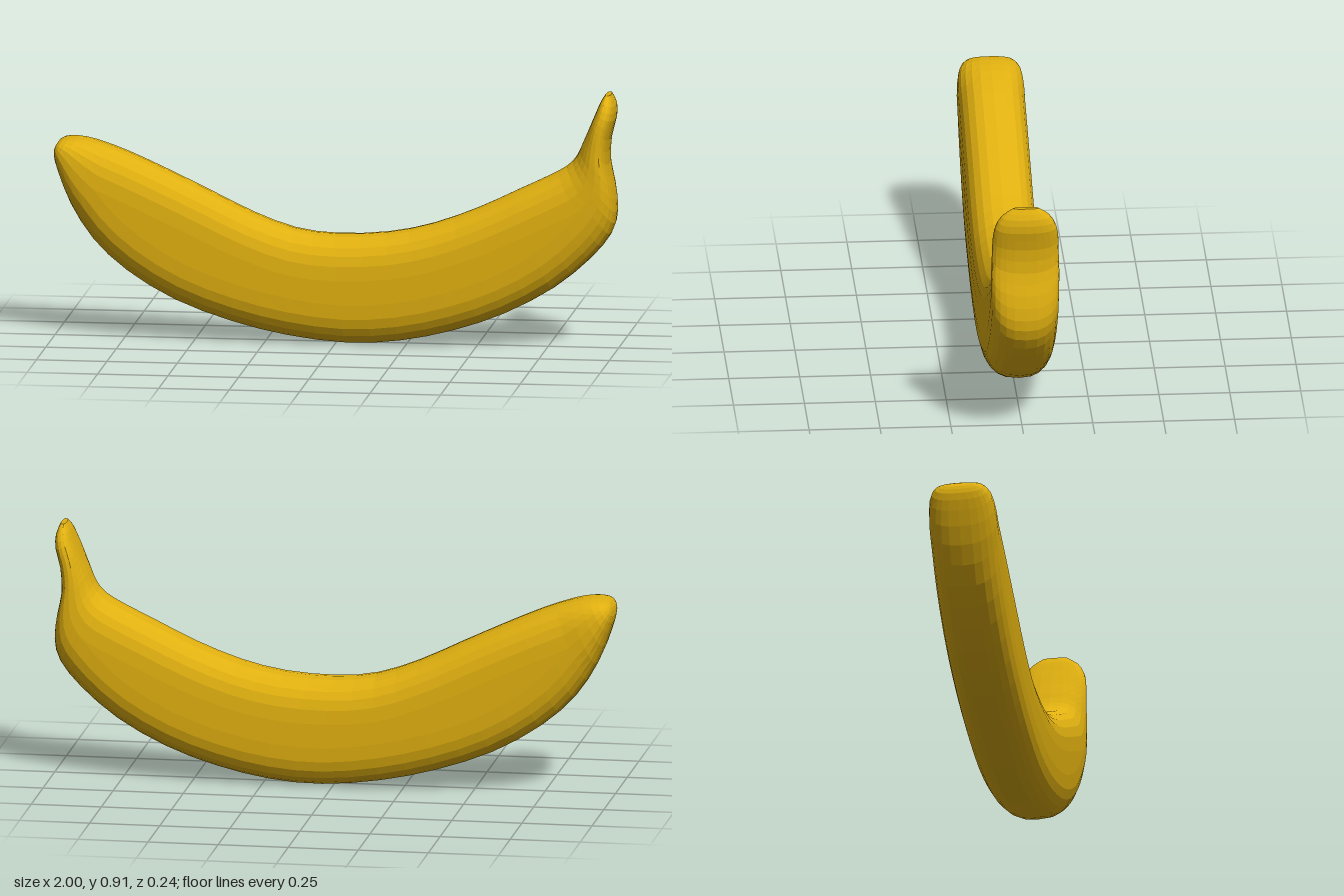
import * as THREE from 'three';

// Stations from blossom tip to stem end: inner edge x, y, outer edge x, y, half depth
const STATIONS = [
  [-0.985, 0.695, -0.995, 0.68, 0.05], [-0.965, 0.706, -1, 0.65, 0.085],
  [-0.92, 0.71, -0.985, 0.59, 0.11], [-0.85, 0.698, -0.94, 0.475, 0.12],
  [-0.74, 0.66, -0.86, 0.35, 0.12], [-0.6, 0.598, -0.74, 0.24, 0.12],
  [-0.45, 0.527, -0.57, 0.14, 0.12], [-0.3, 0.455, -0.37, 0.068, 0.12],
  [-0.15, 0.402, -0.17, 0.022, 0.12], [0, 0.385, 0.04, 0, 0.12],
  [0.18, 0.395, 0.23, 0.012, 0.12], [0.34, 0.43, 0.42, 0.053, 0.12],
  [0.5, 0.49, 0.6, 0.117, 0.12], [0.64, 0.557, 0.77, 0.21, 0.12],
  [0.75, 0.61, 0.9, 0.318, 0.12], [0.82, 0.65, 0.975, 0.41, 0.12],
  [0.855, 0.69, 0.995, 0.49, 0.12], [0.875, 0.735, 0.985, 0.58, 0.12],
  [0.893, 0.775, 0.968, 0.66, 0.118], [0.91, 0.815, 0.972, 0.75, 0.116],
  [0.925, 0.85, 0.99, 0.82, 0.108], [0.94, 0.885, 0.99, 0.87, 0.085],
  [0.955, 0.908, 0.975, 0.908, 0.045],
];

const STEPS = 44;
const HALF = 12; // segments on each rounded edge
const RING = 2 * (HALF + 1);

// Flat-sided section with superelliptic rounded edges
function sectionRing(inner, outer, depth) {
  const mid = inner.clone().add(outer).multiplyScalar(0.5);
  const axis = inner.clone().sub(outer);
  const half = axis.length() / 2;
  axis.normalize();
  const round = Math.min(0.15, half);
  const ring = [];
  for (const side of [1, -1]) {
    for (let i = 0; i <= HALF; i++) {
      const a = (Math.PI * i) / HALF;
      const c = Math.cos(a) * side;
      const along = side * (half - round + round * Math.pow(Math.abs(Math.sin(a)), 0.8));
      const z = depth * Math.sign(c) * Math.pow(Math.abs(c), 0.8);
      ring.push(new THREE.Vector3(mid.x + axis.x * along, mid.y + axis.y * along, z));
    }
  }
  return { ring, mid };
}

function bananaGeometry() {
  const innerCurve = new THREE.CatmullRomCurve3(
    STATIONS.map((s) => new THREE.Vector3(s[0], s[1], 0)), false, 'catmullrom', 0.5);
  const outerCurve = new THREE.CatmullRomCurve3(
    STATIONS.map((s) => new THREE.Vector3(s[2], s[3], s[4])), false, 'catmullrom', 0.5);
  const points = [];
  const index = [];
  const mids = [];
  for (let i = 0; i <= STEPS; i++) {
    const inner = innerCurve.getPoint(i / STEPS);
    const outer = outerCurve.getPoint(i / STEPS);
    const depth = Math.min(outer.z, 0.12);
    outer.z = 0;
    const { ring, mid } = sectionRing(inner, outer, depth);
    points.push(...ring);
    mids.push(mid);
  }

  // Skin between neighbouring sections
  for (let i = 0; i < STEPS; i++) {
    for (let j = 0; j < RING; j++) {
      const k = (j + 1) % RING;
      const a = i * RING + j, b = a + RING;
      const d = i * RING + k, e = d + RING;
      index.push(a, b, d, b, e, d);
    }
  }

  // End caps
  const first = points.push(mids[0]) - 1;
  const last = points.push(mids[STEPS]) - 1;
  const base = STEPS * RING;
  for (let j = 0; j < RING; j++) {
    const k = (j + 1) % RING;
    index.push(first, j, k, last, base + k, base + j);
  }

  const geometry = new THREE.BufferGeometry().setFromPoints(points);
  geometry.setIndex(index);
  geometry.computeVertexNormals();
  return geometry;
}

export function createModel() {
  const group = new THREE.Group();
  group.name = 'banana';
  const material = new THREE.MeshStandardMaterial({ color: 0xe0b010, flatShading: true });
  const fruit = new THREE.Mesh(bananaGeometry(), material);
  fruit.name = 'fruitAndStem';
  group.add(fruit);
  return group;
}
